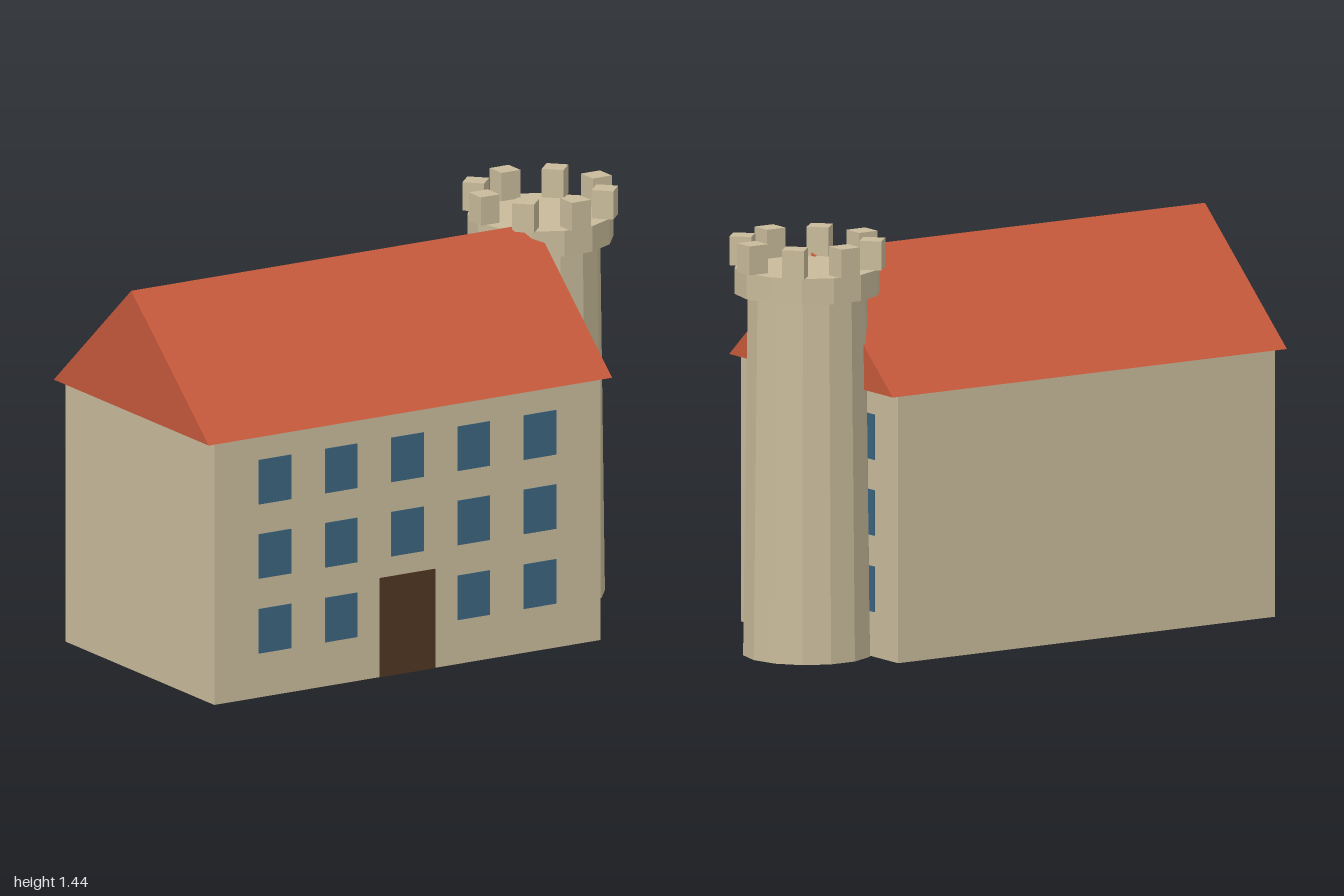
import * as THREE from 'three';

const paint = (name, color) => {
  const m = new THREE.MeshStandardMaterial({ color, flatShading: true });
  m.name = name;
  return m;
};

export function createModel() {
  const stone = paint('stone', 0xc8ba9a);
  const tile = paint('roofTile', 0xc6593b);
  const glass = paint('windowGlass', 0x3b647f);
  const wood = paint('doorWood', 0x503623);

  const model = new THREE.Group();
  model.name = 'manorWithTower';
  const add = (parent, name, geometry, material, x, y, z) => {
    const mesh = new THREE.Mesh(geometry, material);
    mesh.name = name;
    mesh.position.set(x, y, z);
    parent.add(mesh);
    return mesh;
  };

  // House body
  const midX = -0.19, wallH = 0.925, wallW = 1.55, wallD = 0.95;
  add(model, 'walls', new THREE.BoxGeometry(wallW, wallH, wallD), stone, midX, wallH / 2, 0);

  // Gabled roof, a closed prism running along x
  const gable = new THREE.Shape([
    new THREE.Vector2(-0.495, 0),
    new THREE.Vector2(0.495, 0),
    new THREE.Vector2(0, 0.43),
  ]);
  const roofGeo = new THREE.ExtrudeGeometry(gable, { depth: 1.62, bevelEnabled: false });
  roofGeo.translate(0, 0, -0.81).rotateY(Math.PI / 2);
  add(model, 'roof', roofGeo, tile, midX, wallH, 0);

  // Windows on the front and on the tower side, door in the middle of the front
  const plate = 0.006;
  const frontPane = new THREE.BoxGeometry(0.13, 0.157, plate);
  const sidePane = new THREE.BoxGeometry(plate, 0.157, 0.126);
  const windows = new THREE.Group();
  windows.name = 'windows';
  model.add(windows);
  [0.234, 0.498, 0.76].forEach((y, row) => {
    for (let i = -2; i <= 2; i++) {
      if (row === 0 && i === 0) continue;
      add(windows, 'frontWindow', frontPane, glass, midX + i * 0.266, y, wallD / 2);
    }
    for (let i = -1; i <= 1; i++) {
      add(windows, 'sideWindow', sidePane, glass, midX + wallW / 2, y, i * 0.272);
    }
  });
  add(model, 'door', new THREE.BoxGeometry(0.222, 0.35, plate), wood, midX, 0.175, wallD / 2);

  // Round tower with a wider crown
  const tower = new THREE.Group();
  tower.name = 'tower';
  tower.position.set(0.737, 0, -0.15);
  model.add(tower);
  const drum = (rTop, rBottom, h) =>
    new THREE.CylinderGeometry(rTop, rBottom, h, 14, 1, false, Math.PI / 2);
  add(tower, 'towerShaft', drum(0.205, 0.221, 1.25), stone, 0, 0.625, 0);
  add(tower, 'towerCrown', drum(0.25, 0.25, 0.09), stone, 0, 1.295, 0);

  // Eight battlements around the crown
  const merlon = new THREE.BoxGeometry(0.076, 0.1, 0.076);
  for (let i = 0; i < 8; i++) {
    const a = (i * Math.PI) / 4;
    const block = add(tower, 'battlement', merlon, stone, Math.sin(a) * 0.225, 1.39, Math.cos(a) * 0.225);
    block.rotation.y = a;
  }

  return model;
}
